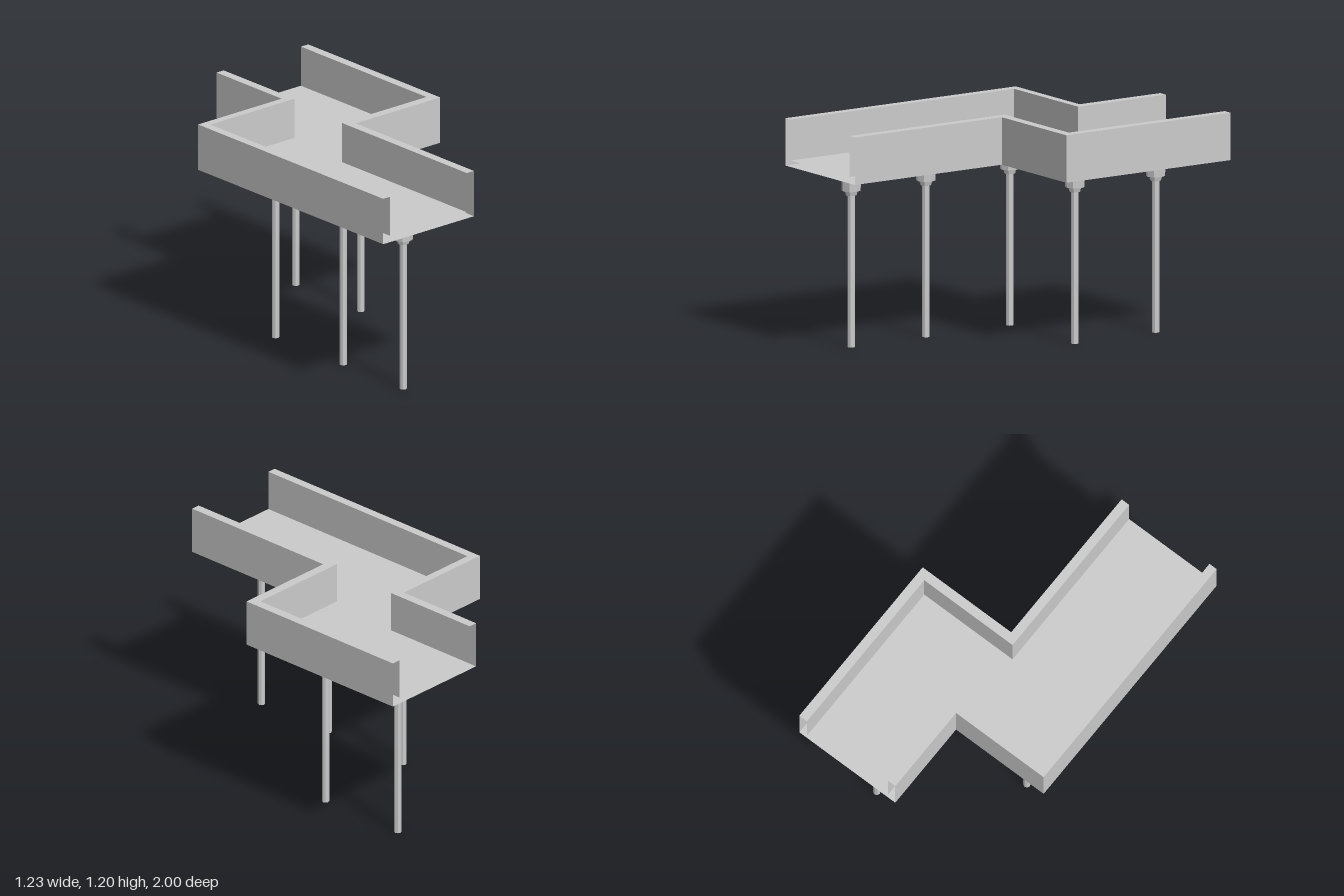
import * as THREE from 'three';

const material = new THREE.MeshStandardMaterial({
  color: 0xcccccc, flatShading: true, side: THREE.DoubleSide,
});

// Plan lines [x, z] of the Z-shaped channel, running from the front end to the back end
const outerLeft = [[-0.613, 1], [-0.613, -0.48], [-0.028, -0.48], [-0.028, -1]];
const innerLeft = [[-0.565, 1], [-0.565, -0.435], [0.022, -0.435], [0.022, -1]];
const innerRight = [[-0.028, 1], [-0.028, 0.003], [0.562, 0.003], [0.562, -1]];
const outerRight = [[0.022, 1], [0.022, 0.055], [0.613, 0.055], [0.613, -1]];
const BASE = 0.945, FLOOR = 0.98, RIM = 1.2;

// Surface stretched between two plan lines, each at its own height
function ribbon(name, [lineA, yA], [lineB, yB]) {
  const positions = [];
  for (let i = 0; i < lineA.length - 1; i++) {
    const at = (line, y, k) => [line[k][0], y, line[k][1]];
    const a0 = at(lineA, yA, i), a1 = at(lineA, yA, i + 1);
    const b0 = at(lineB, yB, i), b1 = at(lineB, yB, i + 1);
    positions.push(...a0, ...a1, ...b1, ...a0, ...b1, ...b0);
  }
  const geometry = new THREE.BufferGeometry();
  geometry.setAttribute('position', new THREE.Float32BufferAttribute(positions, 3));
  geometry.computeVertexNormals();
  const mesh = new THREE.Mesh(geometry, material);
  mesh.name = name;
  return mesh;
}

// Hollow channel, open at both ends: walk once around its cross-section
function createChannel() {
  const channel = new THREE.Group();
  channel.name = 'channel';
  const section = [
    [outerLeft, BASE], [outerLeft, RIM], [innerLeft, RIM], [innerLeft, FLOOR],
    [innerRight, FLOOR], [innerRight, RIM], [outerRight, RIM], [outerRight, BASE],
  ];
  const names = ['leftOuterWall', 'leftRim', 'leftInnerWall', 'floor',
    'rightInnerWall', 'rightRim', 'rightOuterWall', 'underside'];
  names.forEach((name, i) => {
    channel.add(ribbon(name, section[(i + 1) % section.length], section[i]));
  });
  return channel;
}

// Eight-sided, slightly tapered piece standing between two heights
function prism(name, rTop, rBottom, y0, y1) {
  const mesh = new THREE.Mesh(new THREE.CylinderGeometry(rTop, rBottom, y1 - y0, 8), material);
  mesh.position.y = (y0 + y1) / 2;
  mesh.name = name;
  return mesh;
}

// Post with a collar and a socket that reaches into the channel base
function createSupport(x, z) {
  const support = new THREE.Group();
  support.name = 'support';
  support.add(
    prism('post', 0.02, 0.02, 0, 0.83),
    prism('collar', 0.036, 0.029, 0.815, 0.845),
    prism('socket', 0.055, 0.051, 0.84, 0.955),
  );
  support.position.set(x, 0, z);
  return support;
}

export function createModel() {
  const model = new THREE.Group();
  model.name = 'channelOnPosts';
  model.add(createChannel());
  const spots = [[-0.298, 0.8], [-0.298, 0.32], [-0.298, -0.22], [0.298, -0.22], [0.298, -0.74]];
  for (const [x, z] of spots) model.add(createSupport(x, z));
  return model;
}
